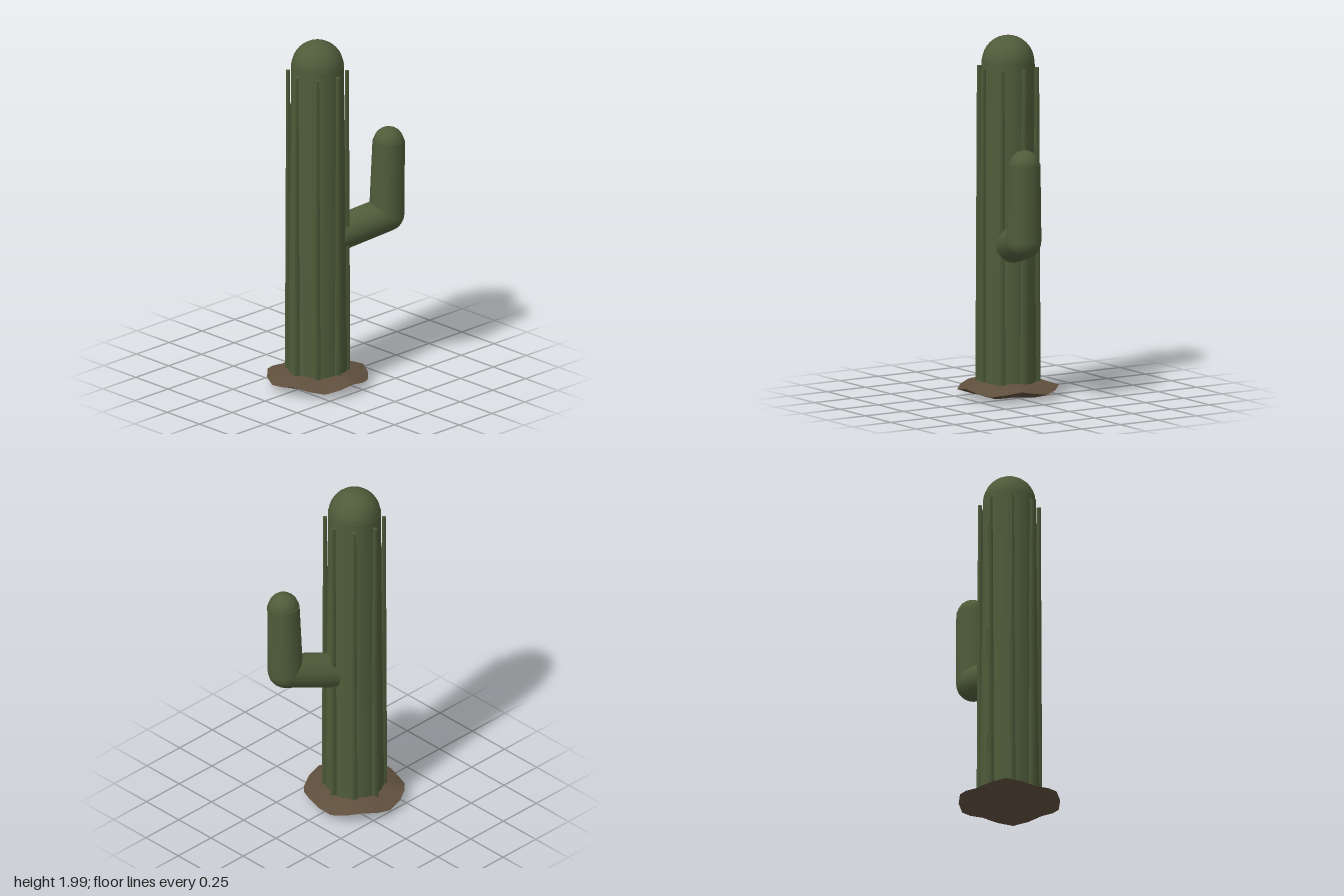
import * as THREE from 'three';
import { toCreasedNormals } from 'three/addons/utils/BufferGeometryUtils.js';

export function createModel() {
  const model = new THREE.Group();
  model.name = 'cactus';
  const green = new THREE.MeshStandardMaterial({ color: 0x4f5c3a });
  green.name = 'cactusGreen';
  const brown = new THREE.MeshStandardMaterial({ color: 0x5f4f3d });
  brown.name = 'soilBrown';
  const v = (x, y, z) => new THREE.Vector3(x, y, z);

  const add = (name, geometry, material, position, parent = model) => {
    const mesh = new THREE.Mesh(geometry, material);
    mesh.name = name;
    mesh.position.copy(position);
    parent.add(mesh);
    return mesh;
  };

  // Tapered cylinder running from point a to point b
  const limb = (name, a, b, ra, rb, sides, parent) => {
    const geometry = new THREE.CylinderGeometry(rb, ra, a.distanceTo(b), sides);
    const mesh = add(name, geometry, green, a.clone().lerp(b, 0.5), parent);
    mesh.quaternion.setFromUnitVectors(v(0, 1, 0), b.clone().sub(a).normalize());
    return mesh;
  };

  const cz = 0.1; // the trunk stands forward of the centre

  // Soil mound: shallow lens whose rim waves up and down five times
  const profile = [[0, 0.008], [0.1, 0.013], [0.19, 0.026], [0.277, 0.057], [0.18, 0.094], [0.1, 0.103], [0, 0.106]]
    .map(([r, y]) => new THREE.Vector2(r, y));
  const soil = new THREE.LatheGeometry(profile, 20);
  const p = soil.attributes.position;
  for (let i = 0; i < p.count; i++) {
    const r = Math.hypot(p.getX(i), p.getZ(i));
    const angle = Math.atan2(p.getZ(i), p.getX(i));
    p.setY(i, p.getY(i) + 0.015 * (r / 0.277) ** 2 * Math.cos(5 * angle));
  }
  add('soilMound', toCreasedNormals(soil, 0.6), brown, v(0, 0, cz));

  // Trunk and its dome
  limb('trunk', v(0, 0.06, cz), v(0, 1.865, cz), 0.164, 0.145, 20);
  add('trunkDome', new THREE.SphereGeometry(0.143, 24, 16), green, v(0, 1.857, cz));

  // Eight tapered four-sided ribs, all turned the same way
  const ribs = new THREE.Group();
  ribs.name = 'ribs';
  model.add(ribs);
  for (let i = 0; i < 8; i++) {
    const a = (i * Math.PI) / 4;
    const x = 0.16 * Math.cos(a), z = cz + 0.16 * Math.sin(a);
    limb('rib', v(x, 0.07, z), v(x, 1.828, z), 0.025, 0.015, 4, ribs);
  }

  // Side arm bending upward at the elbow
  const arm = new THREE.Group();
  arm.name = 'arm';
  model.add(arm);
  const elbow = v(0.15, 0.932, -0.281), tip = v(0.153, 1.36, -0.292);
  limb('lowerArm', v(0.018, 0.842, 0.054), elbow, 0.097, 0.096, 16, arm);
  add('elbow', new THREE.SphereGeometry(0.096, 16, 12), green, elbow, arm);
  limb('upperArm', elbow, tip, 0.097, 0.088, 16, arm);
  add('armDome', new THREE.SphereGeometry(0.085, 16, 12), green, v(0.153, 1.35, -0.292), arm);

  return model;
}
